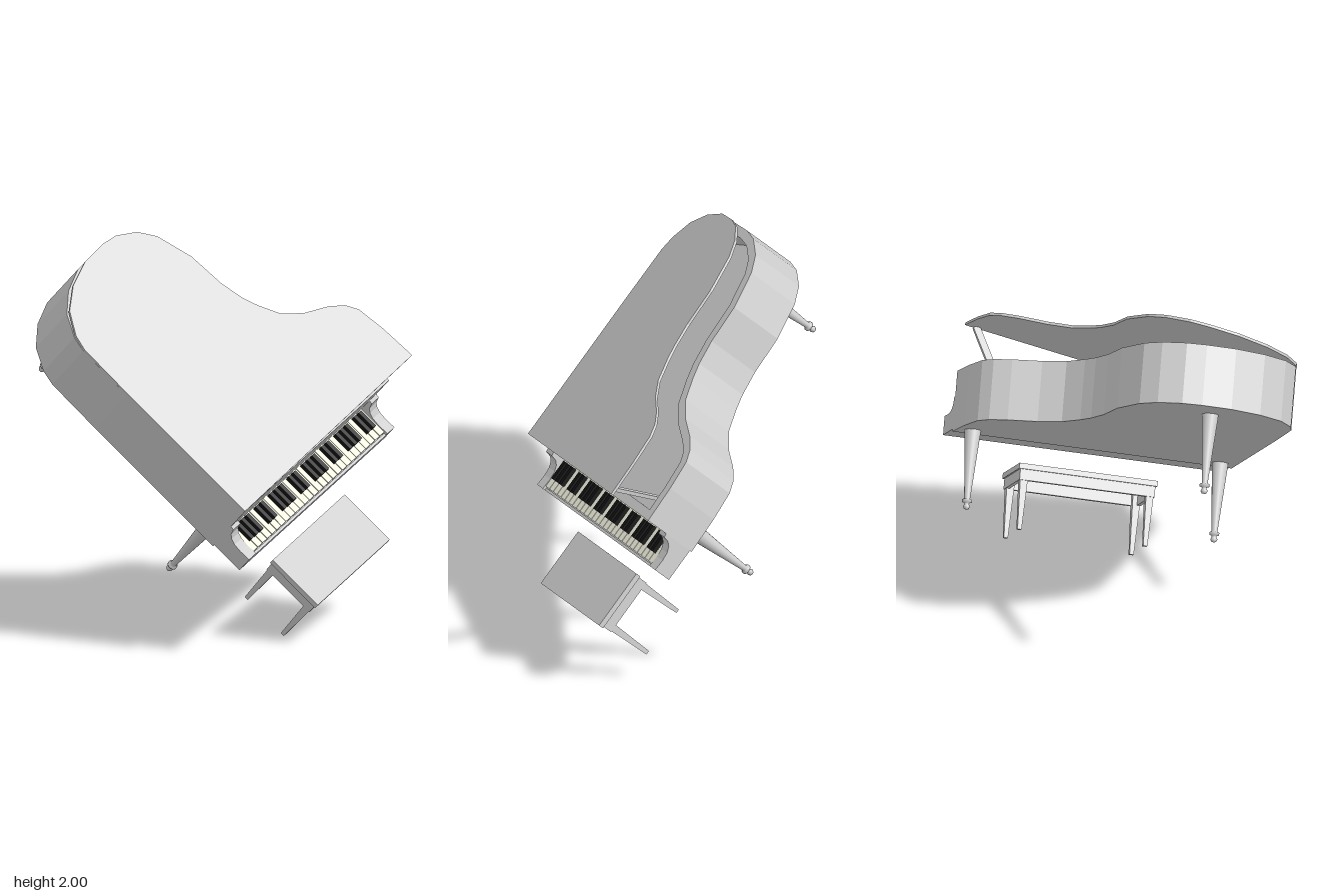
import * as THREE from 'three';

// Lid and case share one plan outline: [along keyboard, towards the tail]
const PLAN = [
  [0, 0], [1.456, 0], [1.445, 0.196], [1.422, 0.35], [1.38, 0.412], [1.298, 0.466],
  [1.158, 0.525], [1.052, 0.601], [0.986, 0.71], [0.951, 0.788], [0.92, 0.915],
  [0.906, 1.118], [0.843, 1.309], [0.772, 1.394], [0.66, 1.453], [0.56, 1.468],
  [0.406, 1.464], [0.243, 1.416], [0.112, 1.335], [0.029, 1.222], [0.005, 1.142], [0, 0.83],
].map(([x, y]) => new THREE.Vector2(x, y));
const WIDTH = 1.456;

const grey = new THREE.MeshStandardMaterial({ color: 0xcccccc });
const ivory = new THREE.MeshStandardMaterial({ color: 0xeeeedc });
const ebony = new THREE.MeshStandardMaterial({ color: 0x111111 });

function add(parent, name, geometry, material = grey) {
  const mesh = new THREE.Mesh(geometry, material);
  mesh.name = name;
  parent.add(mesh);
  return mesh;
}

// Box given by its limits on each axis
function box(x0, x1, y0, y1, z0, z1) {
  return new THREE.BoxGeometry(x1 - x0, y1 - y0, z1 - z0)
    .translate((x0 + x1) / 2, (y0 + y1) / 2, (z0 + z1) / 2);
}

// Flat slab from a plan outline, between two heights
function slab(points, y0, y1, hole) {
  const shape = new THREE.Shape(points);
  if (hole) shape.holes.push(new THREE.Path(hole));
  return new THREE.ExtrudeGeometry(shape, { depth: y1 - y0, bevelEnabled: false })
    .rotateX(-Math.PI / 2).translate(0, y0, 0);
}

// Moves a counter-clockwise outline inwards
function inset(points, d) {
  return points.map((p, i) => {
    const a = points[(i + points.length - 1) % points.length];
    const b = points[(i + 1) % points.length];
    const e1 = p.clone().sub(a).normalize();
    const e2 = b.clone().sub(p).normalize();
    const n = new THREE.Vector2(-e1.y - e2.y, e1.x + e2.x).normalize();
    return p.clone().addScaledVector(n, d / (-n.x * e1.y + n.y * e1.x));
  });
}

function buildCase(piano) {
  const inner = inset(PLAN, 0.05);
  add(piano, 'rim', slab(PLAN, -0.31, 0, inner));
  add(piano, 'soundboard', slab(inner, -0.31, -0.15));

  // Lid hinged along the straight side
  const lid = add(piano, 'lid', slab(PLAN, 0, 0.014));
  lid.rotation.z = THREE.MathUtils.degToRad(9.4);

  // Lid prop
  const from = new THREE.Vector3(1.23, -0.15, -0.14);
  const to = new THREE.Vector3(1.385, 0.228, -0.03);
  const prop = add(piano, 'lidProp', new THREE.BoxGeometry(0.035, from.distanceTo(to), 0.02));
  prop.position.copy(from).lerp(to, 0.5);
  prop.quaternion.setFromUnitVectors(new THREE.Vector3(0, 1, 0), to.clone().sub(from).normalize());
}

function buildKeyboard(piano) {
  add(piano, 'keyBed', box(0, WIDTH, -0.298, -0.235, 0, 0.18));
  add(piano, 'keySlip', box(0.07, WIDTH - 0.07, -0.235, -0.215, 0.166, 0.18));

  // Scooped cheek at each end
  const profile = [[0, -0.298], [0.18, -0.298], [0.18, -0.2], [0.12, -0.203], [0.075, -0.198],
    [0.045, -0.185], [0.027, -0.165], [0.02, -0.132], [0, -0.128]];
  for (const x of [0, WIDTH - 0.07]) {
    const shape = new THREE.Shape(profile.map(([f, w]) => new THREE.Vector2(f, w)));
    add(piano, 'cheek', new THREE.ExtrudeGeometry(shape, { depth: 0.07, bevelEnabled: false })
      .rotateY(-Math.PI / 2).translate(x + 0.07, 0, 0));
  }

  // Four octaves, starting with a group of three black keys
  const count = 28;
  const pitch = (WIDTH - 0.14) / count;
  for (let i = 0; i < count; i++) {
    const x = 0.07 + i * pitch;
    add(piano, 'whiteKey', box(x + 0.002, x + pitch - 0.002, -0.24, -0.205, 0, 0.162), ivory);
    if ([0, 1, 2, 4, 5].includes(i % 7)) {
      add(piano, 'blackKey',
        box(x + pitch - 0.013, x + pitch + 0.013, -0.21, -0.183, 0.005, 0.112), ebony);
    }
  }
}

function buildLegs(piano) {
  // Tapered leg with a turned collar and ball foot
  const profile = [[0, -0.715], [0.012, -0.712], [0.018, -0.7], [0.012, -0.688], [0.012, -0.682],
    [0.025, -0.677], [0.025, -0.665], [0.015, -0.66], [0.042, -0.305]]
    .map(([r, y]) => new THREE.Vector2(r, y));
  for (const [x, z] of [[0.085, -0.09], [1.375, -0.09], [0.46, -1.26]]) {
    add(piano, 'leg', new THREE.LatheGeometry(profile, 16).translate(x, 0, z));
  }
}

function buildBench(bench) {
  add(bench, 'seat', box(0.31, 1.03, -0.4, -0.372, 0.25, 0.57));

  // Open apron under the seat
  const [x0, x1, z0, z1, t] = [0.318, 1.022, 0.258, 0.562, 0.02];
  for (const z of [z0, z1 - t]) add(bench, 'apron', box(x0, x1, -0.455, -0.4, z, z + t));
  for (const x of [x0, x1 - t]) add(bench, 'apron', box(x, x + t, -0.455, -0.4, z0 + t, z1 - t));

  // Square tapered legs
  for (const x of [0.342, 0.998]) {
    for (const z of [0.282, 0.538]) {
      const leg = new THREE.CylinderGeometry(0.03, 0.015, 0.305, 4, 1).toNonIndexed();
      leg.rotateY(Math.PI / 4).translate(x, -0.5525, z);
      leg.computeVertexNormals();
      add(bench, 'benchLeg', leg);
    }
  }
}

export function createModel() {
  const model = new THREE.Group();
  model.name = 'grandPianoWithBench';

  // Everything is built upright, then tilted as one
  const set = new THREE.Group();
  set.name = 'tiltedSet';
  const right = new THREE.Vector3(0.722, 0.244, -0.647).normalize();
  const up = new THREE.Vector3(0.603, -0.672, 0.43).cross(right).normalize();
  const front = right.clone().cross(up);
  set.quaternion.setFromRotationMatrix(new THREE.Matrix4().makeBasis(right, up, front));
  set.position.set(-0.15, 0.787, 0.69);
  model.add(set);

  const piano = new THREE.Group();
  piano.name = 'piano';
  buildCase(piano);
  buildKeyboard(piano);
  buildLegs(piano);

  const bench = new THREE.Group();
  bench.name = 'bench';
  buildBench(bench);

  set.add(piano, bench);
  return model;
}
